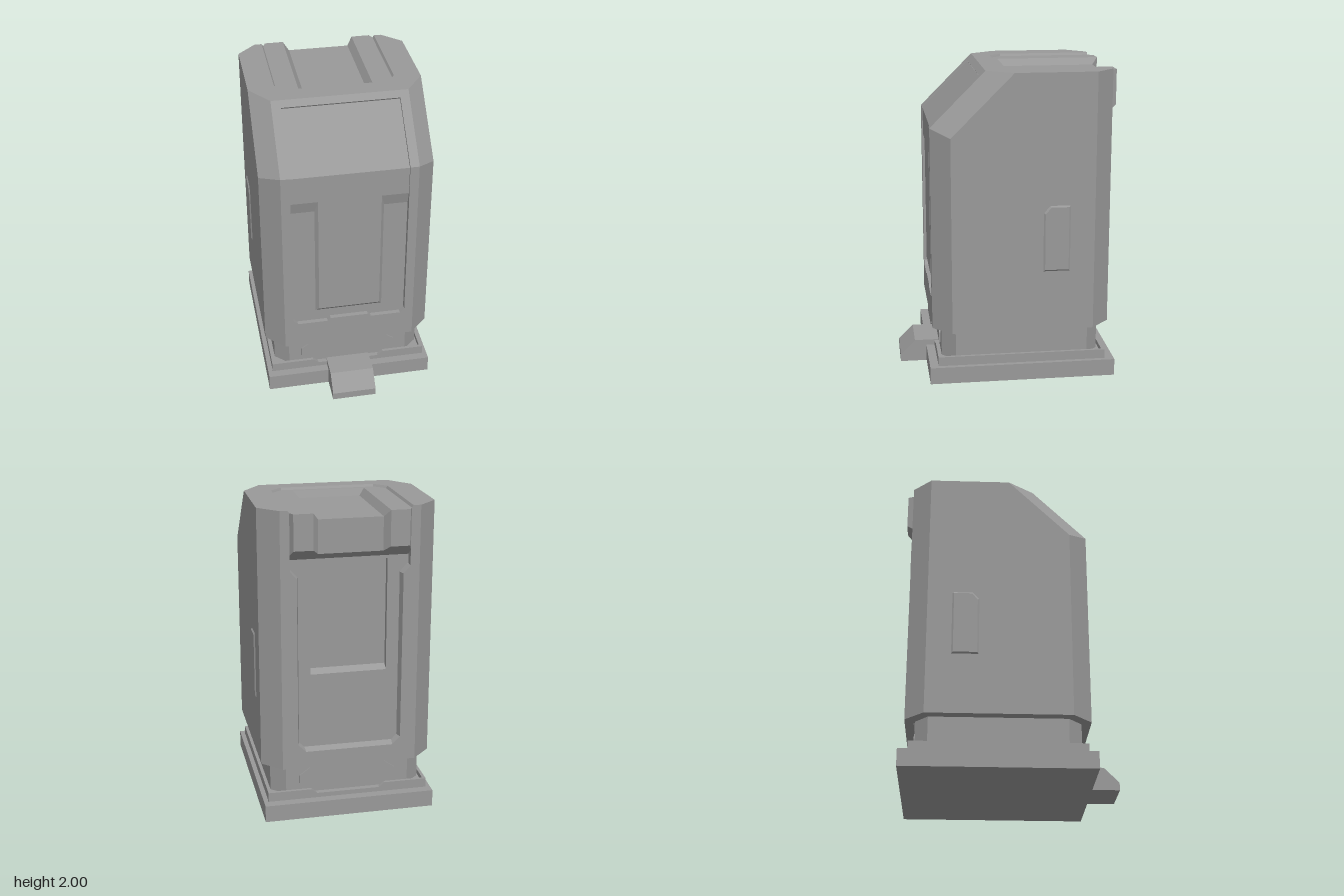
import * as THREE from 'three';
import { ConvexGeometry } from 'three/addons/geometries/ConvexGeometry.js';

const material = new THREE.MeshStandardMaterial({ color: 0x999999, flatShading: true });

export function createModel() {
  const model = new THREE.Group();

  const add = (name, geometry) => {
    const mesh = new THREE.Mesh(geometry, material);
    mesh.name = name;
    model.add(mesh);
  };
  // Box given by its limits
  const box = (name, x0, x1, y0, y1, z0, z1) =>
    add(name, new THREE.BoxGeometry(x1 - x0, y1 - y0, z1 - z0)
      .translate((x0 + x1) / 2, (y0 + y1) / 2, (z0 + z1) / 2));
  // Convex solid around [x, y, z] corners; s = -1 mirrors it
  const hull = (name, points, s = 1) =>
    add(name, new ConvexGeometry(points.map(([x, y, z]) => new THREE.Vector3(s * x, y, z))));
  const shapeOf = (points) => new THREE.Shape(points.map((p) => new THREE.Vector2(...p)));
  const extrude = (shape, depth) => new THREE.ExtrudeGeometry(shape, { depth, bevelEnabled: false });
  // Outline in x, y extruded from z0 to z1
  const plateZ = (name, points, z0, z1, hole) => {
    const shape = shapeOf(points);
    if (hole) shape.holes.push(shapeOf(hole));
    add(name, extrude(shape, z1 - z0).translate(0, 0, z0));
  };
  // Outline in z, y extruded across x, from -w to w
  const prismX = (name, points, w) =>
    add(name, extrude(shapeOf(points.map(([z, y]) => [-z, y])), 2 * w)
      .translate(0, 0, -w).rotateY(Math.PI / 2));
  const mirrorX = (points) => [...points, ...points.map(([x, y]) => [-x, y]).reverse()];
  const bothSides = (points) => [...points, ...points.map(([x, y, z]) => [-x, y, z])];

  // Base slab, inner deck and raised rim with a notch at front and back
  box('baseSlab', -0.55, 0.55, 0, 0.11, -0.685, 0.52);
  box('baseDeck', -0.5, 0.5, 0.1, 0.14, -0.605, 0.445);
  const notchedBar = mirrorX([[0.52, 0.11], [0.52, 0.17], [0.24, 0.17], [0.205, 0.14]]);
  plateZ('frontRim', notchedBar, 0.445, 0.465);
  plateZ('backRim', notchedBar, -0.625, -0.605);
  for (const s of [-1, 1]) {
    box('sideRim', s * 0.51 - 0.01, s * 0.51 + 0.01, 0.11, 0.17, -0.605, 0.445);
  }

  // Front step
  prismX('frontStep', [[0.694, 0], [0.694, 0.05], [0.597, 0.147], [0.43, 0.147], [0.43, 0]], 0.145);

  // Neck with cut corners, and plates on its front and back
  const neck = [[0.4, 0.435], [0.49, 0.35], [0.49, -0.51], [0.4, -0.59]];
  hull('neck', bothSides(neck.flatMap(([x, z]) => [[x, 0.13, z], [x, 0.338, z]])));
  const neckPlate = mirrorX([[0.315, 0.195], [0.315, 0.26], [0.225, 0.325]]);
  plateZ('frontNeckPlate', neckPlate, 0.43, 0.445);
  plateZ('backNeckPlate', neckPlate, -0.6, -0.585);

  // Body core, set back behind the frame
  prismX('bodyCore', [
    [0.465, 0.34], [0.465, 1.38], [0.487, 1.46], [0.487, 1.643], [0.175, 1.955],
    [0.1, 1.955], [0.1, 1.94], [-0.575, 1.94], [-0.575, 0.34],
  ], 0.371);

  for (const s of [-1, 1]) {
    // Side block with chamfered corners and sloping front
    hull('bodySide', [
      [0.372, 0.34, 0.495], [0.372, 1.65, 0.495], [0.372, 1.985, 0.16],
      [0.382, 2, 0.145], [0.382, 2, -0.655], [0.372, 1.985, -0.655], [0.372, 0.34, -0.655],
      [0.43, 0.34, 0.495], [0.43, 1.65, 0.495], [0.43, 2, 0.145], [0.43, 2, -0.655], [0.43, 0.34, -0.655],
      [0.55, 0.34, 0.375], [0.55, 1.605, 0.375], [0.55, 2, -0.02], [0.55, 2, -0.535], [0.55, 0.34, -0.535],
    ], s);

    // Bevelled side hatch with one cut corner
    const hatch = [[0.735, -0.207], [0.735, -0.378], [1.163, -0.378], [1.163, -0.25], [1.118, -0.207]];
    hull('sideHatch', hatch.flatMap(([y, z]) => [
      [0.54, y, z], [0.55, y, z],
      [0.558, 0.949 + (y - 0.949) * 0.955, -0.2925 + (z + 0.2925) * 0.88],
    ]), s);
  }

  // Raised centre panel on the front
  hull('frontPanel', bothSides([
    [0.22, 0.6, 0.45], [0.22, 1.38, 0.45], [0.22, 0.6, 0.465], [0.22, 1.38, 0.465],
    [0.2, 0.625, 0.487], [0.2, 1.46, 0.487],
  ]));

  // Lower front apron with a small tab
  plateZ('frontApron', [
    [-0.373, 0.34], [0.373, 0.34], [0.373, 0.55], [0.343, 0.52], [0.145, 0.52], [0.125, 0.54],
    [-0.125, 0.54], [-0.145, 0.52], [-0.343, 0.52], [-0.373, 0.55],
  ], 0.44, 0.495);

  // Header between the sloping window and the roof
  prismX('roofHeader', [
    [0.18, 1.965], [0.145, 2], [0.03, 2], [0.02, 1.985], [0.02, 1.93], [0.155, 1.93],
  ], 0.383);

  // Sunken roof plate: two rails that hook over the back, joined at the front
  for (const s of [-1, 1]) {
    hull('roofRail', [-0.655, 0.03].flatMap((z) => [
      [0.235, 1.985, z], [0.373, 1.985, z], [0.373, 1.93, z], [0.2, 1.93, z], [0.2, 1.94, z],
    ]), s);
    hull('railHook', [
      [0.235, 1.985, -0.694], [0.235, 1.762, -0.694], [0.355, 1.985, -0.694], [0.355, 1.762, -0.694],
      [0.235, 1.985, -0.655], [0.2, 1.94, -0.655], [0.2, 1.73, -0.655],
      [0.372, 1.985, -0.655], [0.372, 1.73, -0.655],
      [0.2, 1.69, -0.61], [0.372, 1.69, -0.61], [0.2, 1.69, -0.57], [0.372, 1.69, -0.57],
      [0.2, 1.94, -0.57], [0.372, 1.94, -0.57],
    ], s);
    hull('roofCorner', [
      [0.383, 2, -0.05], [0.383, 2, 0.035], [0.3, 2, 0.035],
      [0.383, 1.93, -0.06], [0.383, 1.93, 0.035], [0.29, 1.93, 0.035],
      [0.383, 1.985, -0.06], [0.29, 1.985, 0.035],
    ], s);
  }
  prismX('roofFrontLip', [[0.04, 1.93], [0.04, 1.985], [-0.01, 1.985], [-0.03, 1.94], [-0.03, 1.93]], 0.236);
  prismX('backHeader', [
    [-0.57, 1.94], [-0.655, 1.94], [-0.655, 1.73], [-0.61, 1.69], [-0.57, 1.69],
  ], 0.21);

  // Sunken back panel with a deeper window
  plateZ('backPanel', [[-0.373, 0.4], [0.373, 0.4], [0.373, 1.72], [-0.373, 1.72]], -0.61, -0.57,
    [[-0.24, 0.95], [0.24, 0.95], [0.24, 1.67], [-0.24, 1.67]]);
  prismX('backWindowSill', [[-0.61, 0.95], [-0.575, 0.98], [-0.57, 0.95]], 0.241);

  // Frame around the back panel, its inner walls bevelled
  hull('backApron', bothSides([
    [0.373, 0.34, -0.655], [0.373, 0.45, -0.655], [0.373, 0.34, -0.6], [0.373, 0.47, -0.6],
  ]));
  const opening = [[0.373, 1.63], [0.33, 1.58], [0.33, 0.5], [0.28, 0.45]];
  for (const s of [-1, 1]) {
    for (let i = 0; i < 3; i++) {
      hull('backFrame', [opening[i], opening[i + 1]].flatMap(([x, y]) => [
        [x, y, -0.655], [x - 0.015, y, -0.6], [0.373, y, -0.655], [0.373, y, -0.6],
      ]), s);
    }
  }

  return model;
}
